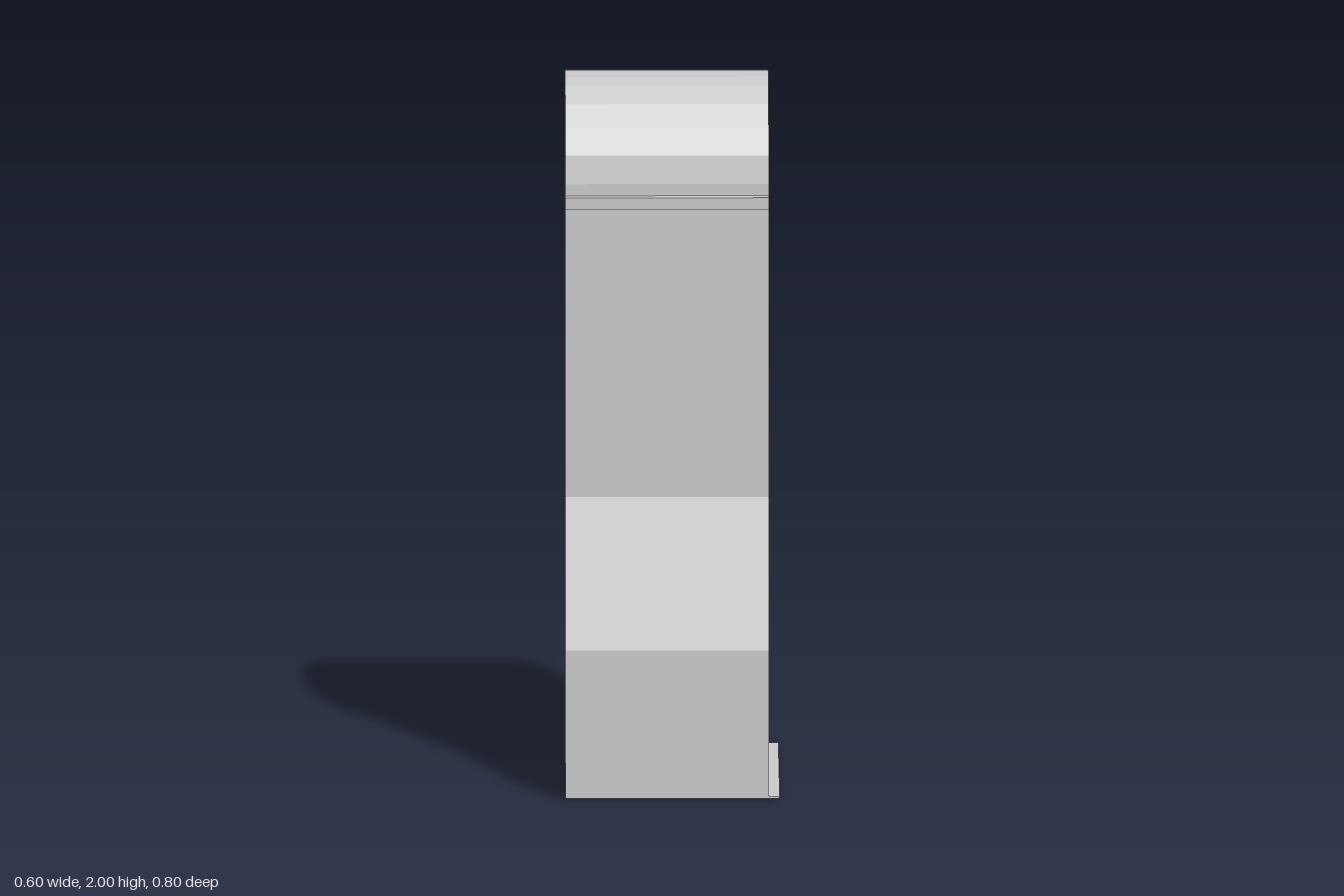
import * as THREE from 'three';

const mat = new THREE.MeshStandardMaterial({ color: 0xcccccc, flatShading: true });
const X0 = -0.3, X1 = 0.27, FLOOR = 0.014, WALL = 0.025;
const SLAB0 = 1.675, SLAB1 = 1.71;

function addMesh(parent, name, geometry) {
  const mesh = new THREE.Mesh(geometry, mat);
  mesh.name = name;
  parent.add(mesh);
  return mesh;
}

function box(parent, name, x0, x1, y0, y1, z0, z1) {
  const g = new THREE.BoxGeometry(x1 - x0, y1 - y0, z1 - z0);
  addMesh(parent, name, g).position.set((x0 + x1) / 2, (y0 + y1) / 2, (z0 + z1) / 2);
}

// Half profile as [z, y] points, mirrored into the other half
const mirrored = (half) => half.map(([z, y]) => [-z, y]).reverse();

// Extrudes a closed [z, y] outline along x
function extrudeX(points, x0, x1) {
  const shape = new THREE.Shape(points.map(([z, y]) => new THREE.Vector2(z, y)));
  const g = new THREE.ExtrudeGeometry(shape, { depth: x1 - x0, bevelEnabled: false });
  return g.rotateY(Math.PI / 2).translate(x0, 0, 0);
}

// Rounded roof profile: two quarter arcs joined by a flat top
function domeHalf(r) {
  const pts = [[0.047 + r, SLAB1]];
  for (let i = 0; i <= 5; i++) {
    const a = (i * Math.PI) / 10;
    pts.push([0.047 + r * Math.cos(a), 1.743 + r * Math.sin(a)]);
  }
  return pts;
}

// Square bar between two points
function bar(parent, name, a, b, size) {
  const g = new THREE.BoxGeometry(size, size, a.distanceTo(b));
  const mesh = addMesh(parent, name, g);
  mesh.position.copy(a).add(b).multiplyScalar(0.5);
  mesh.lookAt(b);
}

export function createModel() {
  const model = new THREE.Group();
  model.name = 'tower';

  // Flared casing: two side walls and a closed back panel
  const outer = [[0.4, FLOOR], [0.4, 0.43], [0.28, 0.845], [0.28, SLAB0]];
  const inner = [[0.374, FLOOR], [0.374, 0.427], [0.262, 0.83], [0.262, SLAB0]];
  const wall = [...outer, ...[...inner].reverse()];
  addMesh(model, 'frontWall', extrudeX(wall, X0 + WALL, X1));
  addMesh(model, 'rearWall', extrudeX(mirrored(wall), X0 + WALL, X1));
  addMesh(model, 'backPanel', extrudeX([...outer, ...mirrored(outer)], X0, X0 + WALL));

  // Base plate and the ledge slab beneath the roof
  box(model, 'basePlate', X0, 0.3, 0.008, FLOOR, -0.4, 0.4);
  box(model, 'ledgeSlab', X0, X1, SLAB0, SLAB1, -0.335, 0.335);

  // Arched roof, open at one end
  const roofOuter = domeHalf(0.257), roofInner = domeHalf(0.23);
  const outerArc = [...roofOuter, ...mirrored(roofOuter)];
  const innerArc = [...roofInner, ...mirrored(roofInner)];
  addMesh(model, 'archedRoof', extrudeX([...outerArc, ...innerArc.reverse()], X0 + WALL, X1));
  addMesh(model, 'roofEndPanel', extrudeX(outerArc, X0, X0 + WALL));

  // Internal frame: I-section legs with a braced truss on both sides
  const legX = 0.262, legZ = 0.25, levels = [0.23, 0.437, 0.645, 0.852, 1.06, 1.267];
  for (const side of [1, -1]) {
    const truss = new THREE.Group();
    truss.name = side > 0 ? 'frontTruss' : 'rearTruss';
    model.add(truss);
    const z = side * legZ;
    const point = (x, y) => new THREE.Vector3(x, y, z);

    for (const x of [-legX, legX]) {
      const leg = new THREE.Group();
      leg.name = 'leg';
      truss.add(leg);
      box(leg, 'legWeb', x - 0.003, x + 0.003, 0, SLAB0, z - 0.006, z + 0.006);
      for (const f of [-0.008, 0.008]) {
        box(leg, 'legFlange', x - 0.009, x + 0.009, 0, SLAB0, z + f - 0.002, z + f + 0.002);
      }
    }

    bar(truss, 'middlePost', point(0, levels[0]), point(0, levels[5]), 0.01);
    levels.forEach((y, i) => {
      bar(truss, 'crossBar', point(-legX, y), point(legX, y), 0.01);
      if (i === 0) return;
      // Diagonals zigzag between the legs and the middle post
      for (const x of [-legX, legX]) {
        const fromMiddle = i % 2 === 1;
        const low = point(fromMiddle ? x : 0, levels[i - 1]);
        const high = point(fromMiddle ? 0 : x, y);
        bar(truss, 'diagonalBrace', low, high, 0.008);
      }
    });
  }
  return model;
}
